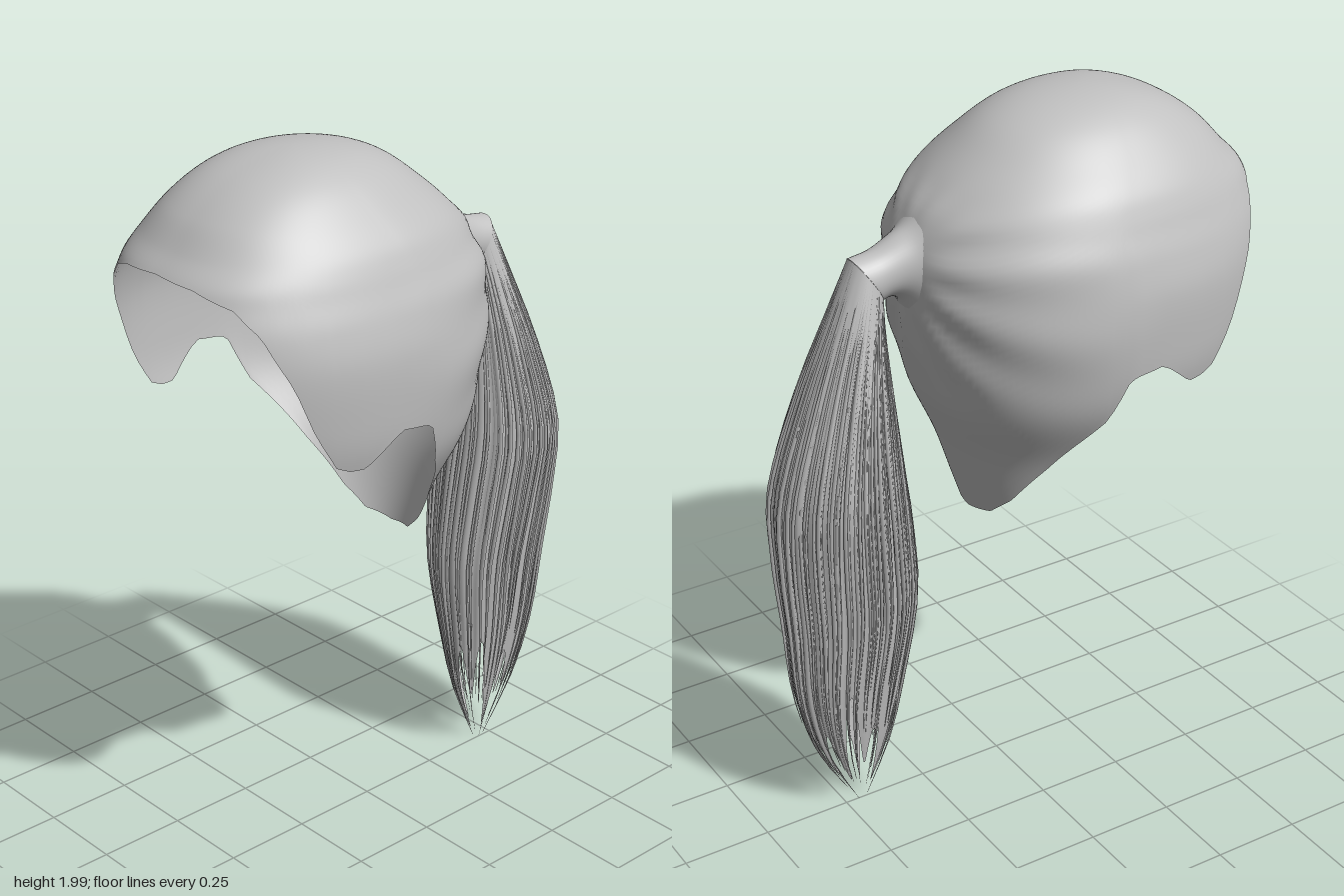
import * as THREE from 'three';
import { mergeGeometries } from 'three/addons/utils/BufferGeometryUtils.js';

// Smooth interpolation through rows of [key, a, b, ...] with ascending keys
function sample(table, key) {
  const last = table.length - 1;
  let i = 0;
  while (i < last - 1 && key > table[i + 1][0]) i++;
  const p0 = table[Math.max(i - 1, 0)], p1 = table[i], p2 = table[i + 1], p3 = table[Math.min(i + 2, last)];
  const h = p2[0] - p1[0];
  const t = Math.min(Math.max((key - p1[0]) / h, 0), 1);
  return p1.slice(1).map((a, k) => {
    const b = p2[k + 1];
    const m1 = (b - p0[k + 1]) / (p2[0] - p0[0]) * h;
    const m2 = (p3[k + 1] - a) / (p3[0] - p1[0]) * h;
    const t2 = t * t, t3 = t2 * t;
    return (2 * t3 - 3 * t2 + 1) * a + (t3 - 2 * t2 + t) * m1 + (3 * t2 - 2 * t3) * b + (t3 - t2) * m2;
  });
}

// Closed rings joined from top to bottom; point(v, angle) returns [x, y, z]
function loft(rows, cols, point) {
  const pos = [], index = [];
  for (let i = 0; i <= rows; i++) {
    for (let j = 0; j < cols; j++) {
      pos.push(...point(i / rows, j / cols * Math.PI * 2));
      if (i === rows) continue;
      const a = i * cols + j, b = i * cols + (j + 1) % cols;
      index.push(a, a + cols, b, b, a + cols, b + cols);
    }
  }
  const g = new THREE.BufferGeometry();
  g.setAttribute('position', new THREE.Float32BufferAttribute(pos, 3));
  g.setIndex(index);
  g.computeVertexNormals();
  return g;
}

function seeded(seed) {
  return () => {
    seed = (seed * 16807) % 2147483647;
    return seed / 2147483647;
  };
}

// Cap slices: height, half width, centre z, front depth, back depth
const CAP = [
  [2.0, 0, 0.25, 0, 0],
  [1.985, 0.12, 0.25, 0.12, 0.15],
  [1.95, 0.195, 0.24, 0.23, 0.24],
  [1.88, 0.272, 0.22, 0.355, 0.32],
  [1.81, 0.33, 0.19, 0.45, 0.37],
  [1.76, 0.355, 0.18, 0.51, 0.41],
  [1.72, 0.37, 0.18, 0.53, 0.435],
  [1.65, 0.395, 0.18, 0.555, 0.465],
  [1.55, 0.415, 0.18, 0.56, 0.47],
  [1.4, 0.412, 0.18, 0.55, 0.45],
  [1.3, 0.4, 0.18, 0.53, 0.425],
  [1.21, 0.37, 0.18, 0.52, 0.4],
  [1.07, 0.295, 0.18, 0.5, 0.34],
  [0.93, 0.24, 0.18, 0.5, 0.295],
  [0.85, 0.2, 0.18, 0.5, 0.27],
].map(([y, ...rest]) => [Math.sqrt(2 - y), ...rest]);

// Hem height by angle in degrees: 0 is the forehead, 180 the nape
const HEM = [
  [0, 1.765], [17, 1.755], [34, 1.72], [44, 1.66], [53, 1.53], [59, 1.4], [65, 1.3],
  [70, 1.28], [75, 1.278], [85, 1.36], [94, 1.342], [101, 1.22], [122, 1.05],
  [141, 0.925], [156, 0.868], [180, 0.855],
];

function hemHeight(deg) {
  const i = Math.max(1, HEM.findIndex(([d]) => d >= deg));
  const [d0, y0] = HEM[i - 1], [d1, y1] = HEM[i];
  return y0 + (y1 - y0) * (deg - d0) / (d1 - d0);
}

const TIE_Y = 1.625;

function capPoint(v, angle) {
  const deg = THREE.MathUtils.radToDeg(angle);
  const hem = hemHeight(Math.min(deg > 180 ? 360 - deg : deg, 180));
  const q = Math.sqrt(2 - hem) * v;
  const [w, c, front, back] = sample(CAP, q);
  let s = Math.sin(angle), k = Math.cos(angle);
  if (k > 0) {
    // The front half is a little squarer than an ellipse
    s = Math.sign(s) * Math.abs(s) ** 0.833;
    k = k ** 0.833;
  }
  const y = 2 - q * q;
  const x = w * s, z = c + (k > 0 ? front : back) * k;
  // Soft combed ridges fanning out from the tie
  const r = Math.hypot(x, y - TIE_Y);
  const fade = THREE.MathUtils.smoothstep(r, 0.08, 0.2) * (1 - THREE.MathUtils.smoothstep(z, -0.1, 0.3))
    * THREE.MathUtils.smoothstep(y, 1.2, 1.4) * (1 - THREE.MathUtils.smoothstep(y, 1.68, 1.85));
  const ridge = 0.005 * fade * Math.sin(12 * Math.atan2(y - TIE_Y, Math.abs(x) + 0.02));
  return [x + ridge * s, y, z + ridge * k];
}

// Cap with a round opening where the hair passes into the neck
function hairCap() {
  const g = loft(64, 160, capPoint);
  const p = g.attributes.position, all = g.index.array, kept = [];
  const inHole = (i) => p.getZ(i) < 0 && Math.hypot(p.getX(i), p.getY(i) - TIE_Y) < 0.08;
  for (let i = 0; i < all.length; i += 3) {
    const face = [all[i], all[i + 1], all[i + 2]];
    if (!face.every(inHole)) kept.push(...face);
  }
  g.setIndex(kept);
  return g;
}

// Gathered neck: position along, top z, top y, bottom z, bottom y, half width
const NECK = [
  [0, -0.215, 1.765, -0.276, 1.485, 0.125],
  [0.3, -0.264, 1.722, -0.299, 1.528, 0.088],
  [0.55, -0.31, 1.7, -0.317, 1.542, 0.068],
  [0.8, -0.37, 1.675, -0.335, 1.545, 0.06],
  [1, -0.43, 1.665, -0.35, 1.54, 0.06],
];

function neckPoint(v, angle) {
  const [tz, ty, bz, by, w] = sample(NECK, v);
  const k = (1 + Math.cos(angle)) / 2;
  return [w * Math.sin(angle), ty + (by - ty) * k, tz + (bz - tz) * k];
}

// Tail slices: drop from the tie, half width, front z, back z, tilt
const TAIL = [
  [0, 0.06, -0.35, -0.43, 0.062],
  [0.1, 0.085, -0.35, -0.48, 0.05],
  [0.3, 0.13, -0.335, -0.58, 0.02],
  [0.55, 0.168, -0.31, -0.67, 0],
  [0.75, 0.152, -0.285, -0.675, 0],
  [0.95, 0.128, -0.272, -0.66, 0],
  [1.2, 0.092, -0.31, -0.64, 0],
  [1.4, 0.055, -0.355, -0.58, 0],
  [1.6, 0.006, -0.44, -0.46, 0],
];

function tailPoint(drop, angle, scale) {
  const [w, front, back, tilt] = sample(TAIL, drop);
  const s = Math.sin(angle) * scale, k = Math.cos(angle) * scale;
  return [w * s, 1.602 - drop - tilt * k, (front + back) / 2 + (front - back) / 2 * k];
}

// Softly ribbed body of the tail, its locks ending at uneven heights
function tailCore() {
  return loft(40, 160, (v, a) => {
    const rib = Math.min(1, v * 2.5);
    const scale = 0.985 + rib * (0.016 * Math.sin(23 * a) + 0.012 * Math.sin(14 * a + 1) - 0.015);
    const end = 1.36 + 0.12 * Math.sin(11 * a) + 0.07 * Math.sin(5 * a + 1);
    return tailPoint(end * v, a, scale);
  });
}

// Fine tapering strands lying over the body
function tailStrands(count) {
  const rand = seeded(77);
  const strands = [];
  for (let n = 0; n < count; n++) {
    const a0 = (n + rand() * 0.8) / count * Math.PI * 2;
    const end = n % 9 === 0 ? 1.5 + 0.1 * rand() : 1.15 + 0.35 * rand();
    const radius = 0.004 + 0.005 * rand();
    const lift = 0.95 + 0.06 * rand(), sway = (rand() - 0.5) * 0.2;
    strands.push(loft(18, 4, (v, b) => {
      const [x, y, z] = tailPoint(end * v, a0 + sway * v * v, 0.95 + (lift - 0.95) * Math.min(1, v * 2));
      const r = radius * Math.min(1, 0.3 + v * 3) * Math.min(1, 0.1 + (1 - v) * 2.5);
      return [x + r * Math.sin(b), y, z + r * Math.cos(b)];
    }));
  }
  return mergeGeometries(strands);
}

export function createModel() {
  const hair = new THREE.MeshStandardMaterial({ color: 0xc0c0c0, side: THREE.DoubleSide });
  hair.name = 'hair grey';
  const group = new THREE.Group();
  group.name = 'ponytailHair';
  const add = (name, geometry) => {
    const mesh = new THREE.Mesh(geometry, hair);
    mesh.name = name;
    group.add(mesh);
  };
  add('hairCap', hairCap());
  add('gatheredNeck', loft(16, 40, neckPoint));
  add('ponytailBody', tailCore());
  add('ponytailStrands', tailStrands(90));
  return group;
}
